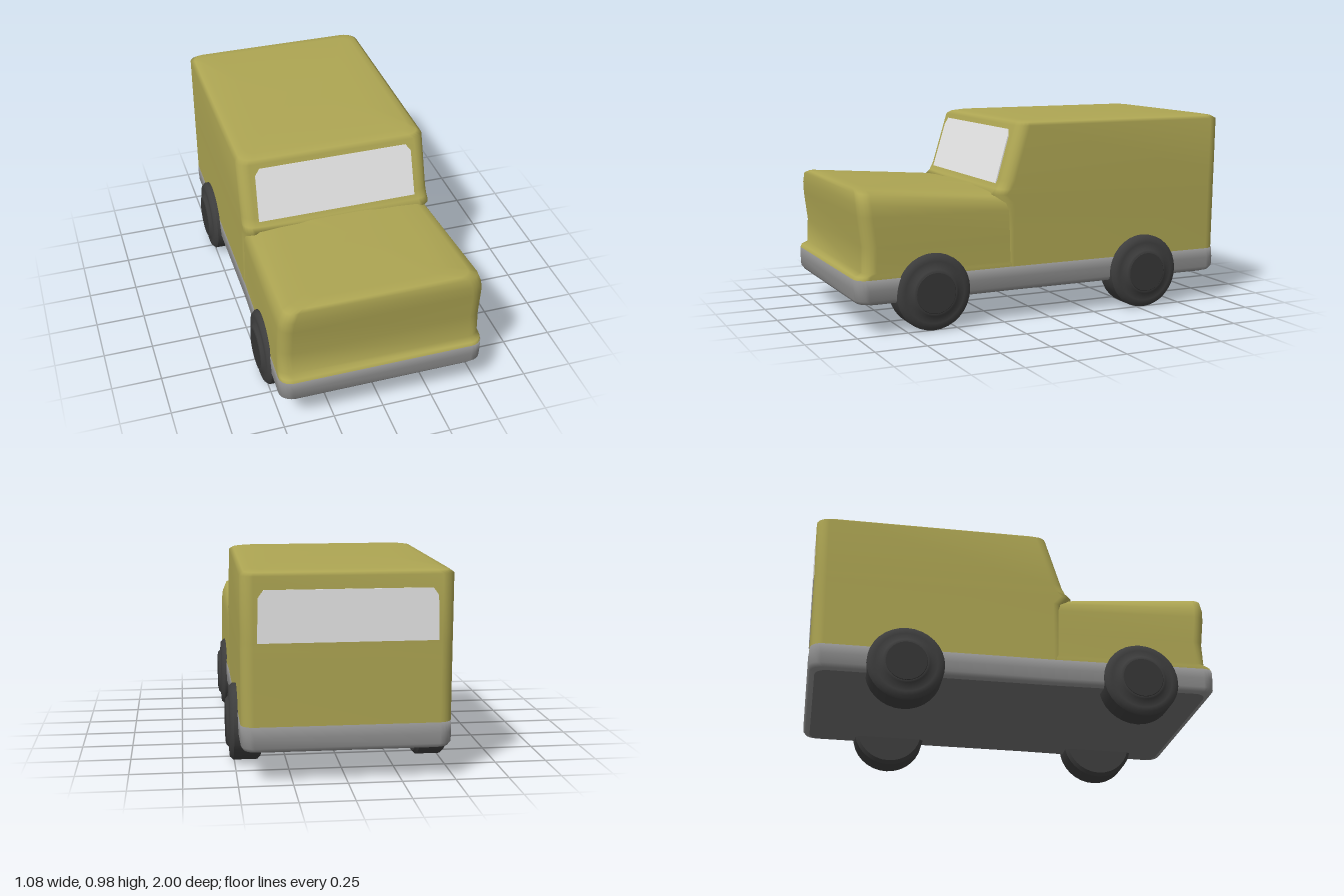
import * as THREE from 'three';

const paint = (name, color) => {
  const m = new THREE.MeshStandardMaterial({ color });
  m.name = name;
  return m;
};

// Rounded rectangle at height y; the sides flare towards the nose, rise lifts it forwards
function ringPoints({ y, front, back, half, r = 0.06, rise = 0 }, steps = 5) {
  const pts = [];
  const add = (x, z) => pts.push([
    x * (1 + 0.06 * Math.max(0, z - 0.05)),
    y + rise * 0.06 * Math.max(0, z - 0.29) / 0.68,
    z,
  ]);
  const split = front > 0.5; // extra side point where the flare begins
  const corners = [[1, 1], [-1, 1], [-1, -1], [1, -1]];
  corners.forEach(([sx, sz], c) => {
    const cz = sz > 0 ? front - r : back + r;
    if (split && c === 0) add(half, 0.2);
    if (split && c === 2) add(-half, 0.2);
    for (let i = 0; i <= steps; i++) {
      const a = (c + i / steps) * Math.PI / 2;
      add(sx * (half - r) + r * Math.cos(a), cz + r * Math.sin(a));
    }
  });
  return pts;
}

// Skin stacked rings from bottom to top and cap the last one
function loft(levels) {
  const rings = levels.map((l) => ringPoints(l));
  const n = rings[0].length;
  const pos = rings.flat(2);
  const index = [];
  for (let i = 0; i < rings.length - 1; i++) {
    for (let j = 0; j < n; j++) {
      const k = (j + 1) % n;
      const a = i * n + j, b = i * n + k, c = a + n, d = b + n;
      index.push(a, c, d, a, d, b);
    }
  }
  const last = rings[rings.length - 1];
  const start = (rings.length - 1) * n;
  pos.push(...[0, 1, 2].map((q) => last.reduce((s, p) => s + p[q], 0) / n));
  for (let j = 0; j < n; j++) index.push(rings.length * n, start + (j + 1) % n, start + j);
  const g = new THREE.BufferGeometry();
  g.setAttribute('position', new THREE.Float32BufferAttribute(pos, 3));
  g.setIndex(index);
  g.computeVertexNormals();
  return g;
}

const level = (y, front, back, half, rise) => ({ y, front, back, half, rise });

// Thin pane with its top corners cut
function paneGeometry(w, h) {
  const s = new THREE.Shape();
  s.moveTo(-w / 2, -h / 2);
  s.lineTo(w / 2, -h / 2);
  s.lineTo(w / 2 - 0.005, h / 2 - 0.035);
  s.lineTo(w / 2 - 0.03, h / 2);
  s.lineTo(-w / 2 + 0.03, h / 2);
  s.lineTo(-w / 2 + 0.005, h / 2 - 0.035);
  s.closePath();
  return new THREE.ExtrudeGeometry(s, { depth: 0.006, bevelEnabled: false });
}

export function createModel() {
  const olive = paint('olive paint', 0xaea653);
  const grey = paint('grey trim', 0x8e8e8e);
  const floorGrey = paint('underside grey', 0x707070);
  const glass = paint('pale glass', 0xe8e8e8);
  const rubber = paint('dark rubber', 0x3e3e3e);
  const hubDark = paint('hub black', 0x363636);

  const model = new THREE.Group();
  model.name = 'offRoadCar';
  const add = (parent, name, geo, mat) => {
    const m = new THREE.Mesh(geo, mat);
    m.name = name;
    parent.add(m);
    return m;
  };

  // Tall rear cabin with the sloping windscreen face
  add(model, 'cabin', loft([
    level(0.268, 0.25, -0.987, 0.485),
    level(0.45, 0.25, -0.99, 0.485),
    level(0.58, 0.25, -0.993, 0.485),
    level(0.625, 0.292, -0.993, 0.485),
    level(0.65, 0.266, -0.994, 0.485),
    level(0.69, 0.246, -0.995, 0.485),
    level(0.955, 0.165, -1.0, 0.485),
    level(0.970, 0.145, -0.98, 0.465),
    level(0.978, 0.10, -0.93, 0.43),
    level(0.982, -0.1, -0.65, 0.3),
  ]), olive);

  // Hood, nose and the lip above the bumper
  add(model, 'hood', loft([
    level(0.27, 1.0, 0.05, 0.483),
    level(0.285, 0.993, 0.05, 0.483),
    level(0.299, 0.962, 0.05, 0.481),
    level(0.42, 0.958, 0.05, 0.48),
    level(0.545, 0.976, 0.05, 0.478, 0.3),
    level(0.583, 0.98, 0.05, 0.471, 0.6),
    level(0.610, 0.978, 0.05, 0.452, 1),
    level(0.626, 0.966, 0.05, 0.41, 1),
    level(0.631, 0.9, 0.05, 0.3, 1),
  ]), olive);

  // Grey bumper band around the base
  const base = level(0.146, 0.96, -0.96, 0.455);
  add(model, 'bumperBand', loft([
    base,
    level(0.153, 0.983, -0.982, 0.473),
    level(0.172, 0.998, -0.994, 0.484),
    level(0.22, 1.0, -0.995, 0.486),
    level(0.27, 1.0, -0.99, 0.486),
  ]), grey);

  // Flat underside
  const floor = new THREE.ShapeGeometry(
    new THREE.Shape(ringPoints(base).map(([x, , z]) => new THREE.Vector2(x, z))));
  floor.rotateX(Math.PI / 2);
  floor.translate(0, base.y, 0);
  add(model, 'underside', floor, floorGrey);

  // Windscreen and rear window
  const screen = add(model, 'windscreen', paneGeometry(0.82, 0.272), glass);
  screen.position.set(0, 0.803, 0.212);
  screen.rotation.x = -0.293;
  const rear = add(model, 'rearWindow', paneGeometry(0.82, 0.24), glass);
  rear.rotation.order = 'YXZ';
  rear.rotation.set(0.019, Math.PI, 0);
  rear.position.set(0, 0.775, -0.994);

  // Wheels: chunky tyre with a raised dark hub, turned around the axle
  const turned = (points) => {
    const g = new THREE.LatheGeometry(points.map(([r, x]) => new THREE.Vector2(r, x)), 32);
    return g.rotateZ(-Math.PI / 2);
  };
  const tyre = turned([[0, 0.375], [0.17, 0.375], [0.17, 0.375], [0.187, 0.39], [0.187, 0.39],
    [0.187, 0.505], [0.187, 0.505], [0.172, 0.521], [0.15, 0.523], [0.125, 0.524],
    [0.112, 0.537], [0.1, 0.538]]);
  const hub = turned([[0.104, 0.535], [0.098, 0.54], [0.098, 0.54], [0, 0.54]]);
  for (const side of [1, -1]) {
    for (const [name, z] of [['front', 0.62], ['rear', -0.535]]) {
      const wheel = new THREE.Group();
      wheel.name = name + (side > 0 ? 'LeftWheel' : 'RightWheel');
      wheel.position.set(0, 0.187, z);
      wheel.rotation.y = side > 0 ? 0 : Math.PI;
      add(wheel, 'tyre', tyre, rubber);
      add(wheel, 'hub', hub, hubDark);
      model.add(wheel);
    }
  }
  return model;
}
